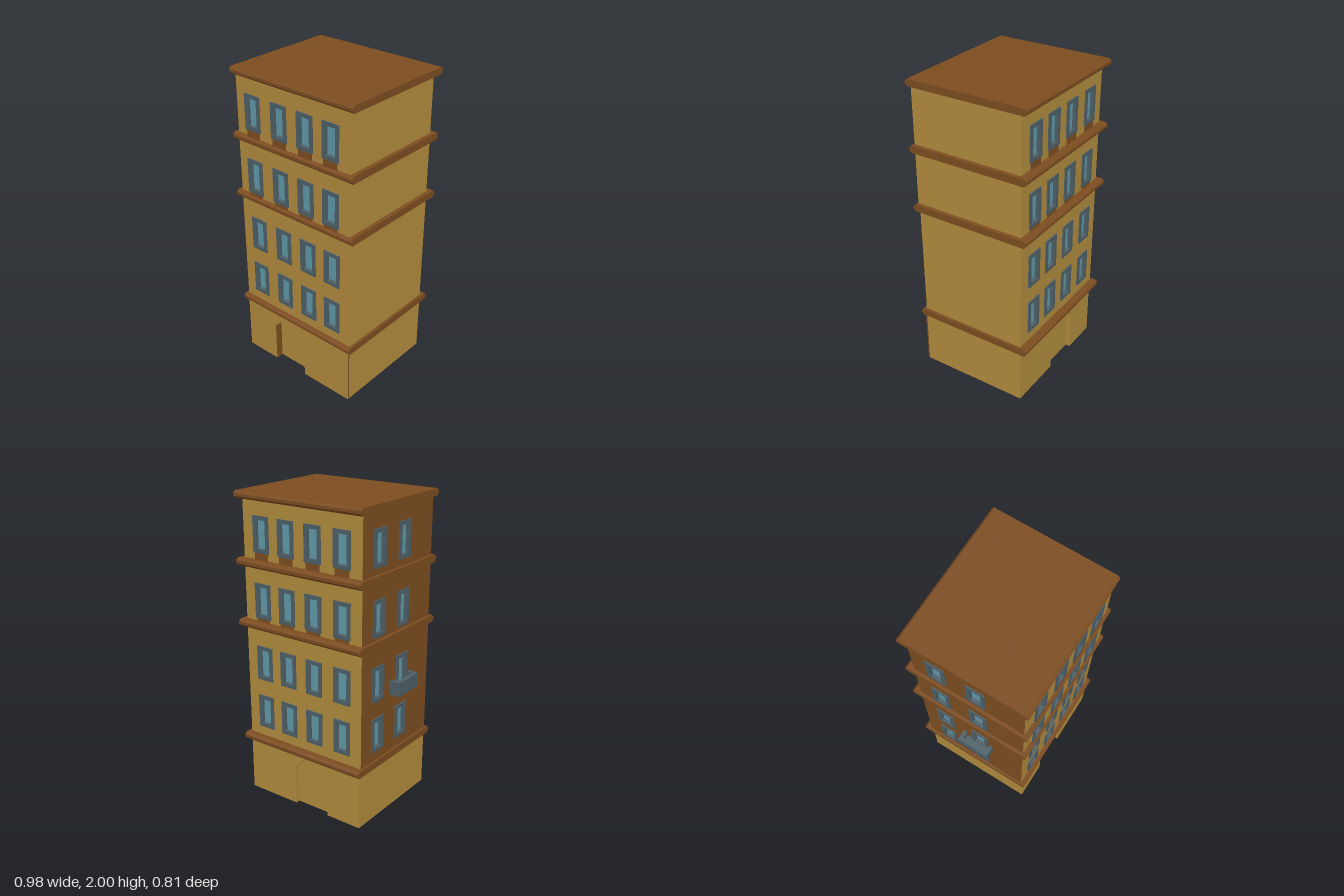
import * as THREE from 'three';

export function createModel() {
  const model = new THREE.Group();
  model.name = 'apartmentBuilding';
  const mat = (name, color) => {
    const m = new THREE.MeshStandardMaterial({ color });
    m.name = name;
    return m;
  };
  const ochre = mat('ochreWall', 0xb08a3c);
  const brown = mat('brownTrim', 0x7c4c20);
  const slate = mat('slateFrame', 0x4d5f67);
  const glass = mat('blueGlass', 0x6098a8);

  const add = (parent, name, geometry, material) => {
    const mesh = new THREE.Mesh(geometry, material);
    mesh.name = name;
    parent.add(mesh);
    return mesh;
  };
  // Box given by its limits on each axis
  const box = (parent, name, material, x0, x1, y0, y1, z0, z1) => {
    const mesh = add(parent, name, new THREE.BoxGeometry(x1 - x0, y1 - y0, z1 - z0), material);
    mesh.position.set((x0 + x1) / 2, (y0 + y1) / 2, (z0 + z1) / 2);
    return mesh;
  };
  const rect = (x0, x1, y0, y1, Type = THREE.Shape) => {
    const s = new Type();
    s.moveTo(x0, y0);
    s.lineTo(x1, y0);
    s.lineTo(x1, y1);
    s.lineTo(x0, y1);
    s.closePath();
    return s;
  };
  const slab = (parent, name, material, shape, z0, z1) => {
    const g = new THREE.ExtrudeGeometry(shape, { depth: z1 - z0, bevelEnabled: false });
    g.translate(0, 0, z0);
    return add(parent, name, g, material);
  };

  // Window rows: bottom and top of the frames
  const rows = [[0.48, 0.70], [0.81, 1.035], [1.22, 1.445], [1.635, 1.86]];
  const columns = [-0.28, -0.07, 0.13, 0.32];
  const HALF = 0.06, RIM = 0.024, WALL = 0.025;

  // Wall pierced for every window that lies inside its limits
  function wall(parent, name, material, x0, x1, y0, y1, z0, z1, xs) {
    const shape = rect(x0, x1, y0, y1);
    for (const [b, t] of rows) {
      if (b < y0 || t > y1) continue;
      for (const x of xs) {
        shape.holes.push(rect(x - HALF + 0.013, x + HALF - 0.013, b + 0.013, t - 0.013, THREE.Path));
      }
    }
    slab(parent, name, material, shape, z0, z1);
  }

  // Deep frame with the pane set back inside it
  function windowUnit(parent, x, b, t, face) {
    const g = new THREE.Group();
    g.name = 'window';
    parent.add(g);
    const outer = rect(x - HALF, x + HALF, b, t);
    outer.holes.push(rect(x - HALF + RIM, x + HALF - RIM, b + RIM, t - RIM, THREE.Path));
    slab(g, 'windowFrame', slate, outer, face, face + 0.008);
    const lining = rect(x - HALF + 0.013, x + HALF - 0.013, b + 0.013, t - 0.013);
    lining.holes.push(rect(x - HALF + RIM, x + HALF - RIM, b + RIM, t - RIM, THREE.Path));
    slab(g, 'windowLining', slate, lining, face - 0.02, face);
    box(g, 'windowPane', glass, x - HALF + 0.014, x + HALF - 0.014, b + 0.014, t - 0.014,
      face - 0.021, face - 0.015);
  }

  // Facade in its own frame, looking along its +z
  function facade(name, angle, material, x0, x1, face, xs, lift, sills) {
    const g = new THREE.Group();
    g.name = name;
    g.rotation.y = angle;
    model.add(g);
    wall(g, 'wall', material, x0, x1, 0.39, 1.98, face - WALL, face, xs);
    rows.forEach(([b, t], i) => {
      const f = face + (i > 1 ? lift : 0);
      for (const x of xs) {
        windowUnit(g, x, b, t, f);
        if (sills && i > 1) box(g, 'sill', brown, x - 0.05, x + 0.05, b - 0.045, b, f, f + 0.006);
      }
    });
    return g;
  }

  // Upper block and its three windowed sides
  box(model, 'upperCore', ochre, -0.395, 0.46, 0.39, 1.98, -0.33, 0.35);
  const front = facade('frontFacade', 0, ochre, -0.419, 0.46, 0.375, columns, 0.01, true);
  wall(front, 'raisedPanel', ochre, -0.335, 0.46, 1.18, 1.97, 0.375, 0.385, columns);
  facade('backFacade', Math.PI, ochre, -0.46, 0.419, 0.355, columns.map((x) => -x), 0, true);
  const side = facade('sideFacade', -Math.PI / 2, brown, -0.354, 0.374, 0.42, [-0.19, 0.065], 0, false);

  // Balcony: floor, front and two ends
  const balcony = new THREE.Group();
  balcony.name = 'balcony';
  side.add(balcony);
  box(balcony, 'balconyFloor', slate, -0.06, 0.155, 0.805, 0.825, 0.42, 0.49);
  box(balcony, 'balconyFront', slate, -0.06, 0.155, 0.825, 0.895, 0.465, 0.49);
  for (const x of [-0.06, 0.13]) {
    box(balcony, 'balconyEnd', slate, x, x + 0.025, 0.825, 0.895, 0.42, 0.465);
  }

  // Ground floor with an arched recess at the front and back
  const archedShape = new THREE.Shape([
    [-0.41, 0], [-0.165, 0], [-0.165, 0.27], [-0.09, 0.345], [0.01, 0.345],
    [0.09, 0.265], [0.09, 0], [0.46, 0], [0.46, 0.39], [-0.41, 0.39],
  ].map(([x, y]) => new THREE.Vector2(x, y)));
  box(model, 'groundFloorCore', ochre, -0.41, 0.46, 0, 0.39, -0.325, 0.335);
  slab(model, 'frontArchWall', ochre, archedShape, 0.335, 0.385);
  slab(model, 'backArchWall', ochre, archedShape, -0.355, -0.325);
  box(model, 'archJamb', brown, -0.166, -0.163, 0, 0.27, 0.335, 0.384);
  box(model, 'cornerStrip', brown, 0.459, 0.461, 0, 0.38, 0.376, 0.3845);
  box(model, 'lintel', ochre, -0.125, 0.26, 0.347, 0.38, 0.38, 0.39);

  // Cornices: chamfered profile in z and y, run along x
  function cornice(name, x0, x1, y0, y1) {
    const c = 0.014, z = 0.403;
    const pts = [[-z + c, y0], [z - c, y0], [z, y0 + c], [z, y1 - c],
      [z - c, y1], [-z + c, y1], [-z, y1 - c], [-z, y0 + c]];
    const shape = new THREE.Shape(pts.map(([a, b]) => new THREE.Vector2(a, b)));
    const g = new THREE.ExtrudeGeometry(shape, { depth: x1 - x0, bevelEnabled: false });
    g.rotateY(Math.PI / 2);
    g.translate(x0, 0, 0);
    add(model, name, g, brown);
  }
  cornice('groundCornice', -0.435, 0.477, 0.37, 0.416);
  cornice('middleCornice', -0.44, 0.487, 1.155, 1.2);
  cornice('upperCornice', -0.44, 0.487, 1.545, 1.592);
  cornice('roof', -0.44, 0.487, 1.955, 2);

  return model;
}
